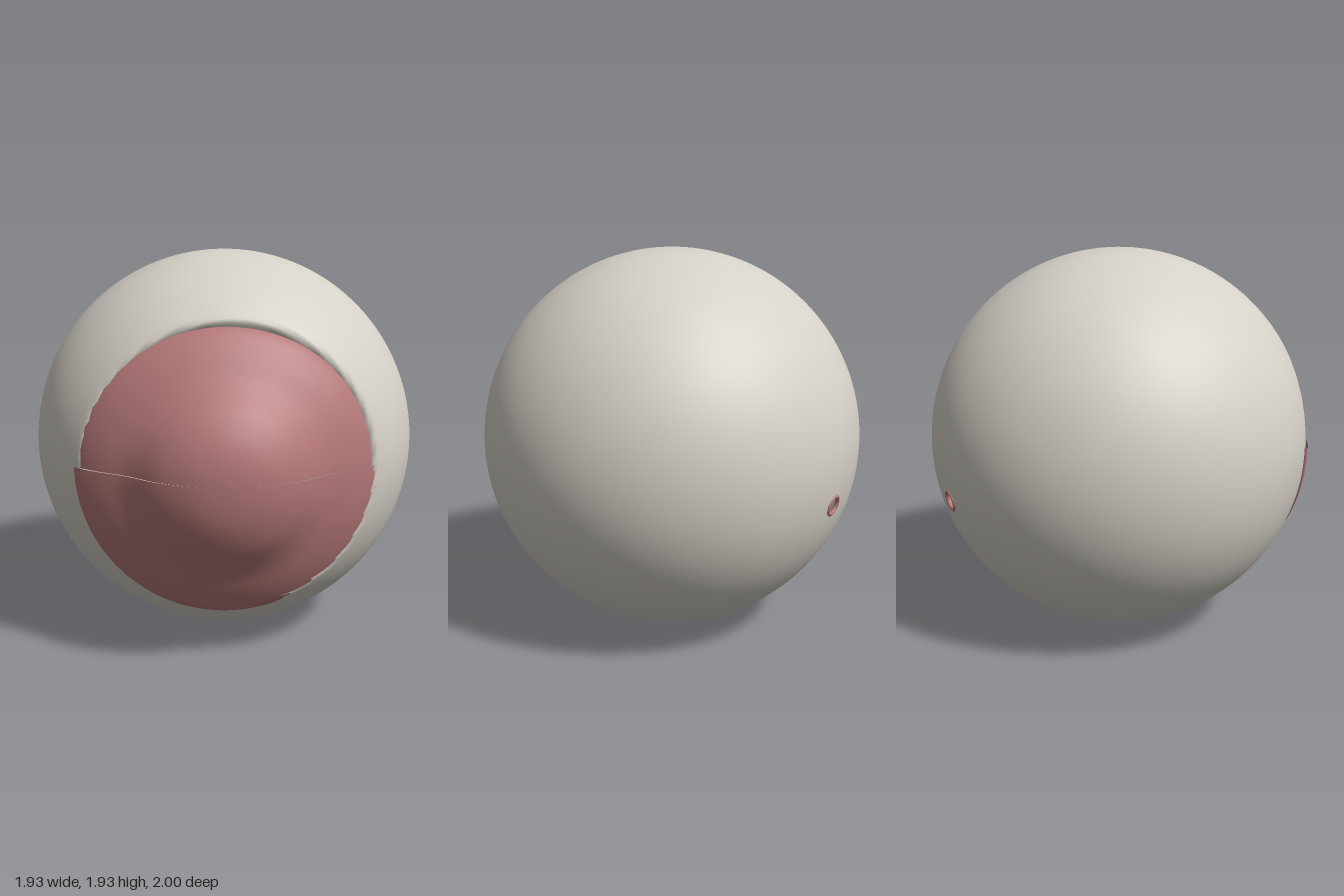
import * as THREE from 'three';
import { mergeVertices } from 'three/addons/utils/BufferGeometryUtils.js';

const RADIUS = 0.965;
const CENTRE = new THREE.Vector3(-0.003, 0.965, -0.032);
const HOLE_DIR = new THREE.Vector3(-0.02, -0.2, -0.94).normalize();

const ballMat = new THREE.MeshStandardMaterial({ color: 0xd6d1c8, side: THREE.DoubleSide });
ballMat.name = 'warm white';
const lidMat = new THREE.MeshStandardMaterial({ color: 0xb57878, side: THREE.DoubleSide });
lidMat.name = 'dusty pink';

function part(name, geometry, material) {
  const mesh = new THREE.Mesh(geometry, material);
  mesh.name = name;
  return mesh;
}

// Hollow ball: its pole is the small opening at the back,
// and the front is dished inward to sit under the lids.
function ballGeometry() {
  let geo = new THREE.SphereGeometry(RADIUS, 128, 96, 0, Math.PI * 2, 0.047, Math.PI - 0.047);
  geo.applyQuaternion(new THREE.Quaternion().setFromUnitVectors(new THREE.Vector3(0, 1, 0), HOLE_DIR));
  geo.translate(CENTRE.x, CENTRE.y, CENTRE.z);
  const pos = geo.attributes.position;
  for (let i = 0; i < pos.count; i++) {
    const z = pos.getZ(i);
    if (z > 0.66) pos.setZ(i, 1.32 - z);
  }
  geo.deleteAttribute('uv');
  geo.deleteAttribute('normal');
  geo = mergeVertices(geo, 1e-5);
  geo.computeVertexNormals();
  return geo;
}

// Half of a bulging cap: profile is (fraction of rim radius, z), from rim to tip.
const LID_PROFILE = [
  [1, 0.635], [0.95, 0.672], [0.83, 0.73], [0.69, 0.785], [0.59, 0.835],
  [0.46, 0.908], [0.3, 0.964], [0.15, 0.991], [0, 1],
];

function lidGeometry(start, width, height) {
  const curve = new THREE.SplineCurve(LID_PROFILE.map(([r, z]) => new THREE.Vector2(r, z)));
  const points = curve.getPoints(40);
  points[points.length - 1].x = 0;
  // Thin lip turned in behind the rim
  points.unshift(new THREE.Vector2(0.94, 0.625), new THREE.Vector2(0.99, 0.625));
  const geo = new THREE.LatheGeometry(points, 48, start, Math.PI);
  geo.rotateX(Math.PI / 2);
  geo.scale(width, height, 1);
  // The rim leans slightly: further forward at the top
  const pos = geo.attributes.position;
  for (let i = 0; i < pos.count; i++) {
    const y = pos.getY(i);
    pos.setZ(i, pos.getZ(i) + 0.022 * y * Math.min(1, Math.abs(y) / 0.6));
  }
  return geo;
}

export function createModel() {
  const model = new THREE.Group();
  model.name = 'eyeball';

  model.add(part('ball', ballGeometry(), ballMat));

  // Closed lids meeting at a level seam
  const upperLid = part('upperLid', lidGeometry(Math.PI / 2, 0.682, 0.643), lidMat);
  const lowerLid = part('lowerLid', lidGeometry(-Math.PI / 2, 0.7, 0.725), lidMat);
  for (const lid of [upperLid, lowerLid]) {
    lid.position.set(-0.015, 0.972, 0);
    model.add(lid);
  }

  // Pink lining of the opening at the back
  const rim = part('backOpeningRim', new THREE.TorusGeometry(0.046, 0.01, 10, 32), lidMat);
  rim.quaternion.setFromUnitVectors(new THREE.Vector3(0, 0, 1), HOLE_DIR);
  rim.position.copy(CENTRE).addScaledVector(HOLE_DIR, RADIUS - 0.004);
  model.add(rim);

  return model;
}
